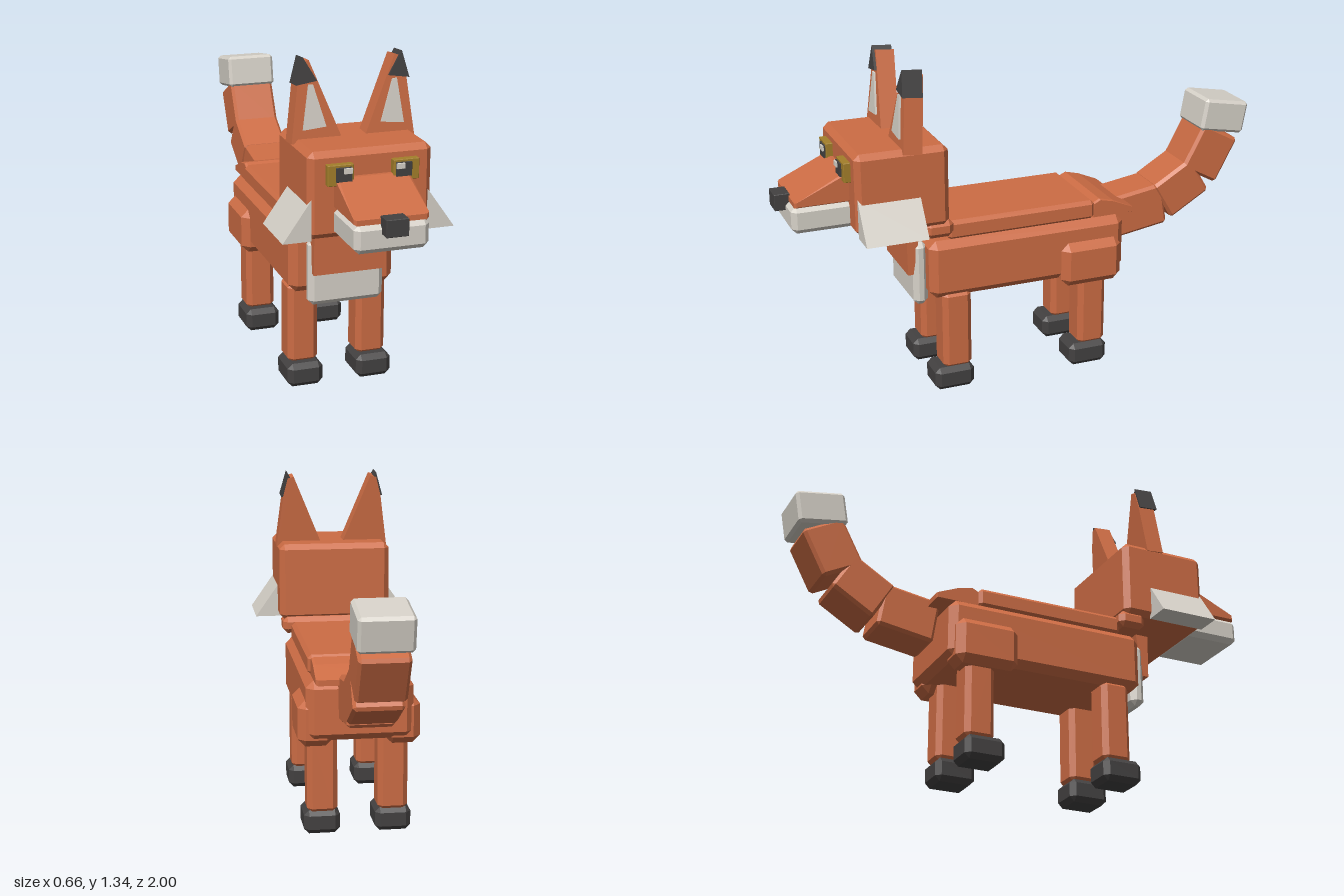
import * as THREE from 'three';
import { ConvexGeometry } from 'three/addons/geometries/ConvexGeometry.js';

const mat = (name, color) => new THREE.MeshStandardMaterial({ name, color });

// Box with flat chamfered edges, centred on the origin
function chamferBox(w, h, d, c) {
  const pts = [];
  for (const x of [-1, 1]) for (const y of [-1, 1]) for (const z of [-1, 1]) {
    const X = w / 2, Y = h / 2, Z = d / 2;
    pts.push(new THREE.Vector3(x * X, y * (Y - c), z * (Z - c)));
    pts.push(new THREE.Vector3(x * (X - c), y * Y, z * (Z - c)));
    pts.push(new THREE.Vector3(x * (X - c), y * (Y - c), z * Z));
  }
  return new ConvexGeometry(pts);
}

// Convex outline in (x, y), swept from z0 to z1
const prismZ = (outline, z0, z1) => new ConvexGeometry(
  outline.flatMap(([x, y]) => [new THREE.Vector3(x, y, z0), new THREE.Vector3(x, y, z1)]));

// Convex side profile in (z, y), swept across x with softened flanks
function prismX(profile, half) {
  const n = profile.length;
  const cz = profile.reduce((s, p) => s + p[0], 0) / n, cy = profile.reduce((s, p) => s + p[1], 0) / n;
  const pts = [];
  for (const [z, y] of profile) for (const s of [-1, 1]) {
    pts.push(new THREE.Vector3(s * (half - 0.01), y, z));
    pts.push(new THREE.Vector3(s * half, cy + (y - cy) * 0.88, cz + (z - cz) * 0.95));
  }
  return new ConvexGeometry(pts);
}

export function createModel() {
  const model = new THREE.Group();
  model.name = 'fox';
  const orange = mat('orangeFur', 0xcc6c44);
  const white = mat('whiteFur', 0xd6d1c8);
  const dark = mat('darkFur', 0x434141);
  const gold = mat('goldIris', 0xa37f2a);

  const add = (name, geometry, material, parent = model) => {
    const mesh = new THREE.Mesh(geometry, material);
    mesh.name = name;
    parent.add(mesh);
    return mesh;
  };
  // Chamfered box given by its extents [min, max] on each axis
  const block = (name, material, [x0, x1], [y0, y1], [z0, z1], c = 0.02, parent = model) => {
    const mesh = add(name, chamferBox(x1 - x0, y1 - y0, z1 - z0, c), material, parent);
    mesh.position.set((x0 + x1) / 2, (y0 + y1) / 2, (z0 + z1) / 2);
    return mesh;
  };
  // Same extents mirrored to side s
  const side = (s, a, b) => (s > 0 ? [a, b] : [-b, -a]);

  // Body and back
  block('body', orange, [-0.21, 0.21], [0.4, 0.64], [-0.39, 0.44], 0.03);
  block('backPlate', orange, [-0.19, 0.19], [0.635, 0.715], [-0.265, 0.36], 0.015);
  block('collar', orange, [-0.225, 0.225], [0.665, 0.735], [0.345, 0.46], 0.02);
  add('rumpPlate', prismX([[-0.26, 0.635], [-0.262, 0.7], [-0.29, 0.715], [-0.35, 0.7],
    [-0.44, 0.66], [-0.44, 0.637]], 0.18), orange);

  // Chest
  block('chestBib', white, [-0.15, 0.15], [0.362, 0.625], [0.43, 0.49], 0.02);
  add('chestTuft', new ConvexGeometry([-0.14, 0.14].flatMap((x) => [
    new THREE.Vector3(x, 0.675, 0.46), new THREE.Vector3(x, 0.675, 0.515),
    new THREE.Vector3(x, 0.495, 0.512), new THREE.Vector3(x, 0.495, 0.49)])), orange);

  // Head and muzzle
  block('head', orange, [-0.235, 0.235], [0.72, 1.045], [0.365, 0.735], 0.022);
  block('jaw', white, [-0.14, 0.14], [0.73, 0.838], [0.71, 0.958], 0.02);
  add('muzzle', prismX([[0.71, 0.835], [0.71, 0.95], [0.75, 0.95], [0.945, 0.855], [0.945, 0.835]], 0.14), orange);
  block('nose', dark, [-0.042, 0.042], [0.8, 0.865], [0.94, 1], 0.002);

  for (const s of [1, -1]) {
    const label = s > 0 ? 'left' : 'right';
    const mirror = (pts) => pts.map(([x, y]) => [s * x, y]);

    // Eyes
    block(label + 'Iris', gold, side(s, 0.075, 0.173), [0.925, 1.002], [0.725, 0.762], 0.002);
    block(label + 'Pupil', dark, side(s, 0.083, 0.143), [0.94, 0.993], [0.76, 0.769], 0.001);
    block(label + 'EyeGlint', white, side(s, 0.083, 0.115), [0.97, 0.991], [0.767, 0.775], 0.001);

    // Cheek ruff
    add(label + 'Cheek', prismZ(mirror([[0.222, 0.87], [0.33, 0.716], [0.222, 0.716]]), 0.483, 0.727), white);

    // Ear, leaning back from the crown
    const ear = new THREE.Group();
    ear.name = label + 'Ear';
    ear.position.set(0, 1.04, 0.51);
    ear.rotation.x = -0.085;
    model.add(ear);
    add(label + 'EarShell', prismZ(mirror([[0.045, -0.005], [0.238, -0.015], [0.21, 0.2],
      [0.19, 0.28], [0.165, 0.288]]), -0.037, 0.037), orange, ear);
    add(label + 'EarInner', prismZ(mirror([[0.106, 0.042], [0.195, 0.034], [0.17, 0.2],
      [0.153, 0.198]]), 0.036, 0.045), white, ear);
    add(label + 'EarTip', prismZ(mirror([[0.138, 0.212], [0.218, 0.2], [0.19, 0.3]]), -0.033, 0.047), dark, ear);

    // Haunch
    block(label + 'Haunch', orange, side(s, 0.1, 0.24), [0.372, 0.557], [-0.37, -0.11], 0.03);

    // Legs and paws
    for (const [end, z] of [['Front', 0.328], ['Hind', -0.257]]) {
      block(label + end + 'Leg', orange, side(s, 0.08, 0.2), [0.085, 0.42], [z - 0.06, z + 0.06], 0.02);
      const paw = end === 'Front' ? 0.345 : -0.238;
      block(label + end + 'Paw', dark, side(s, 0.07, 0.213), [0, 0.096], [paw - 0.082, paw + 0.082], 0.02);
    }
  }

  // Tail segments: y, z, width, height, length, pitch in degrees
  [[0.598, -0.515, 0.18, 0.18, 0.235, 9], [0.672, -0.705, 0.19, 0.175, 0.2, 31],
    [0.81, -0.835, 0.19, 0.18, 0.205, 62], [0.967, -0.892, 0.205, 0.2, 0.135, 80],
  ].forEach(([y, z, w, h, d, pitch], i) => {
    const tip = i === 3;
    const mesh = add(tip ? 'tailTip' : 'tailSegment' + (i + 1), chamferBox(w, h, d, 0.012), tip ? white : orange);
    mesh.position.set(0, y, z);
    mesh.rotation.x = THREE.MathUtils.degToRad(pitch);
  });

  return model;
}
